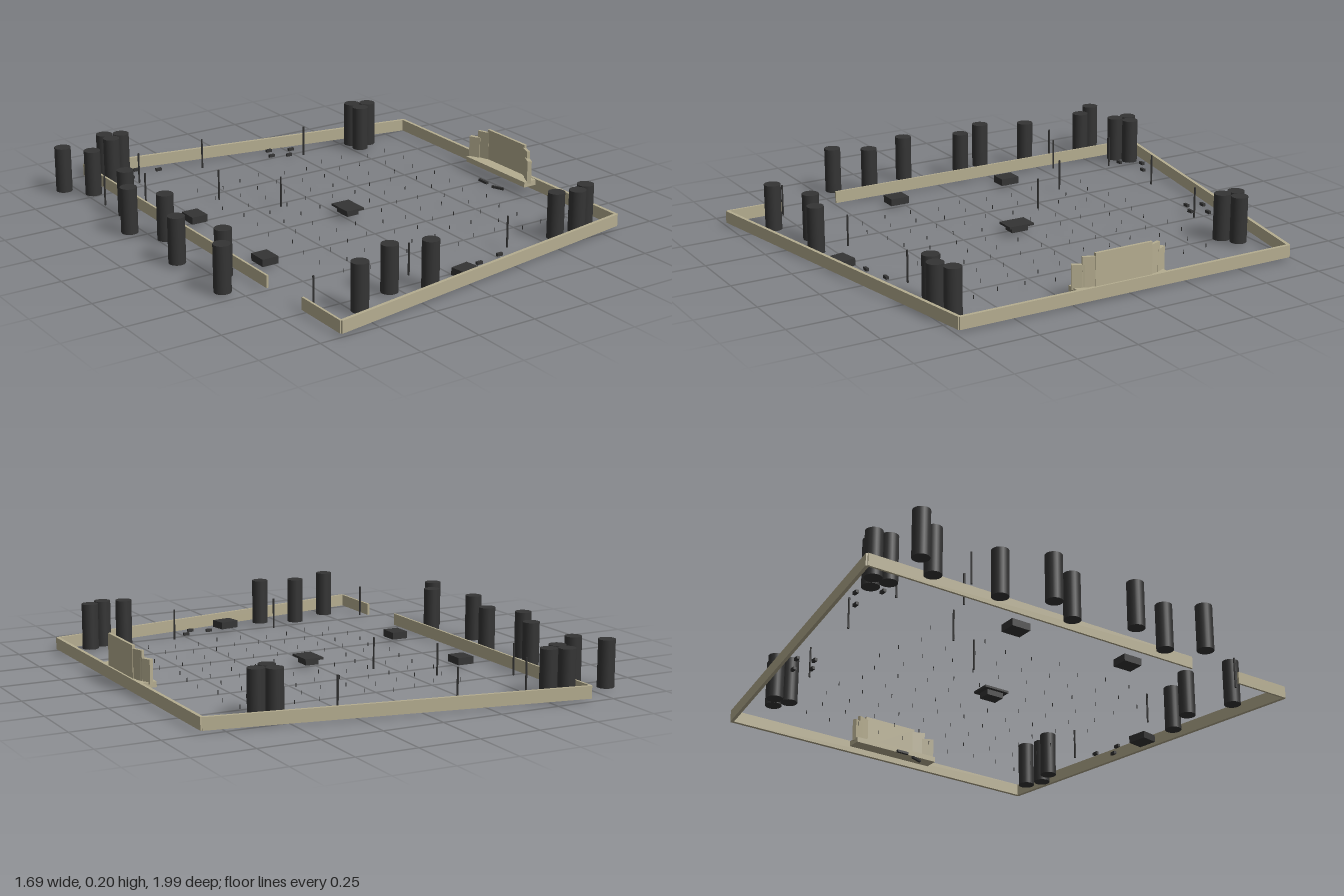
import * as THREE from 'three';

export function createModel() {
  const root = new THREE.Group();
  const stone = new THREE.MeshStandardMaterial({ color: 0xb5ad90 });
  const dark = new THREE.MeshStandardMaterial({ color: 0x343434 });

  function add(name, geometry, material, x, y, z, turn = 0) {
    const mesh = new THREE.Mesh(geometry, material);
    mesh.name = name;
    mesh.position.set(x, y, z);
    mesh.rotation.y = turn;
    root.add(mesh);
    return mesh;
  }
  // box standing between two heights
  function box(name, material, x, z, w, d, y0, y1, turn = 0) {
    return add(name, new THREE.BoxGeometry(w, y1 - y0, d), material, x, (y0 + y1) / 2, z, turn);
  }
  // straight wall between two ground points
  function wall(name, x0, z0, x1, z1, thick) {
    const dx = x1 - x0, dz = z1 - z0;
    box(name, stone, (x0 + x1) / 2, (z0 + z1) / 2, thick, Math.hypot(dx, dz), 0.01, 0.06, Math.atan2(dx, dz));
  }

  // enclosure, with an entrance gap on the -x side
  wall('backWall', -0.655, -0.988, 0.835, -0.73, 0.014);
  wall('frontWall', -0.655, 0.988, 0.835, 0.73, 0.014);
  wall('leftWall', 0.835, -0.733, 0.835, 0.733, 0.014);
  wall('rightWallLong', -0.655, -0.988, -0.655, 0.5, 0.009);
  wall('rightWallShort', -0.655, 0.74, -0.655, 0.988, 0.009);

  // stage with a curved screen of stepped panels
  const mid = 0.035;
  box('stageFloor', stone, 0.801, mid, 0.068, 0.398, 0.035, 0.058);
  box('screenCentre', stone, 0.828, mid, 0.012, 0.25, 0.05, 0.19);
  for (const s of [-1, 1]) {
    box('screenInnerPanel', stone, 0.818, mid + s * 0.143, 0.013, 0.055, 0.05, 0.177, -s * 0.35);
    box('screenOuterPanel', stone, 0.8, mid + s * 0.18, 0.018, 0.05, 0.05, 0.147, -s * 0.45);
  }

  // tall round columns
  const column = new THREE.CylinderGeometry(0.034, 0.034, 0.19, 24);
  [
    [-0.81, -0.865], [-0.727, -0.76], [-0.727, -0.468], [-0.81, -0.285], [-0.727, -0.14],
    [-0.81, 0.098], [-0.727, 0.305], [-0.81, 0.437],
    [-0.587, -0.923], [-0.523, -0.894], [-0.587, -0.857],
    [0.53, -0.698], [0.592, -0.67], [0.53, -0.632],
    [0.553, 0.693], [0.638, 0.72], [0.707, 0.685],
    [-0.487, 0.857], [-0.3, 0.776], [-0.15, 0.825],
  ].forEach(([x, z]) => add('column', column, dark, x, 0.105, z));

  // thin poles
  const pole = new THREE.CylinderGeometry(0.004, 0.004, 0.13, 8);
  [
    [-0.505, -0.773], [-0.19, -0.786], [0.267, -0.688], [-0.75, -0.61], [-0.6, -0.54],
    [-0.33, -0.405], [-0.16, -0.195], [-0.15, 0.688], [0.33, 0.673], [-0.62, 0.757],
  ].forEach(([x, z]) => add('pole', pole, dark, x, 0.075, z));

  // blocks and the central table
  box('block', dark, -0.53, -0.257, 0.07, 0.083, 0.01, 0.04);
  box('block', dark, -0.53, 0.278, 0.07, 0.083, 0.01, 0.04);
  box('block', dark, 0.03, 0.803, 0.083, 0.07, 0.01, 0.04, 0.17);
  box('tableTop', dark, 0.026, 0.018, 0.083, 0.113, 0.033, 0.042);
  box('tableBase', dark, 0.026, 0.018, 0.055, 0.075, 0.01, 0.033);

  // small benches along the walls
  [
    [-0.447, -0.91], [-0.365, -0.86], [-0.51, -0.833],
    [0.16, -0.807], [0.135, -0.743], [0.206, -0.712], [0.252, -0.77],
    [0.135, 0.75], [0.206, 0.786], [0.252, 0.725],
  ].forEach(([x, z]) => box('bench', dark, x, z, 0.026, 0.012, 0.01, 0.022));

  // two loose planks in front of the stage
  box('plank', dark, 0.711, 0.03, 0.012, 0.055, 0.008, 0.018);
  box('plank', dark, 0.726, 0.11, 0.01, 0.056, 0, 0.01, 0.38);

  // field of tiny pegs in slightly slanted rows
  const peg = new THREE.CylinderGeometry(0.0015, 0.0015, 0.016, 5);
  for (let i = 0; i < 10; i++) {
    for (let j = 0; j < 10; j++) {
      const x = -0.36 + i * 0.105 + 0.02 * Math.sin(j * 2.3);
      const z = -0.53 + j * 0.118 + 0.03 * Math.sin(i * 1.7);
      if (Math.hypot(x - 0.026, z - 0.018) > 0.09) add('peg', peg, dark, x, 0.018, z);
    }
  }
  return root;
}
